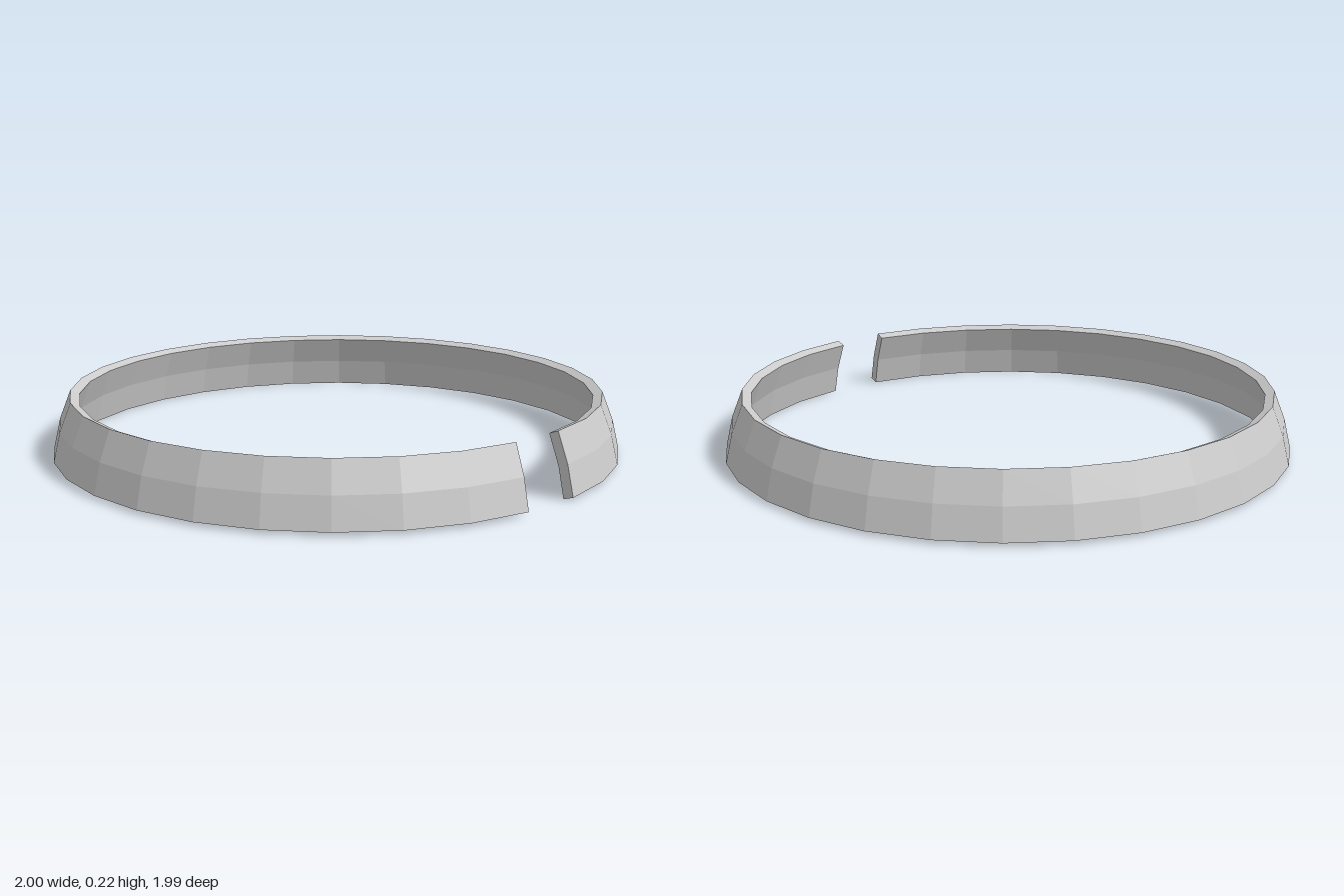
import * as THREE from 'three';

// Wall cross-section (radius, height): outer side going up, inner side going down
const PROFILE = [
  [0.965, 0], [1, 0.012], [0.975, 0.115], [0.935, 0.215],
  [0.903, 0.202], [0.942, 0.102],
].map(([r, y]) => new THREE.Vector2(r, y));

const SIDES = 30; // full circle, one side is left open
const STEP = (Math.PI * 2) / SIDES;
const START = Math.PI / 2 - STEP; // gap sits on the left, towards the front

export function createModel() {
  const group = new THREE.Group();
  group.name = 'openRing';
  const material = new THREE.MeshStandardMaterial({
    color: 0xcccccc, flatShading: true, side: THREE.DoubleSide,
  });

  // Faceted band with one segment missing
  const band = new THREE.Mesh(
    new THREE.LatheGeometry([...PROFILE, PROFILE[0]], SIDES - 1, START, STEP * (SIDES - 1)),
    material,
  );
  band.name = 'band';
  group.add(band);

  // Flat faces closing the two cut ends
  const section = new THREE.ShapeGeometry(new THREE.Shape(PROFILE));
  for (const [name, phi] of [['backEnd', START], ['frontEnd', START - STEP]]) {
    const cap = new THREE.Mesh(section, material);
    cap.name = name;
    cap.rotation.y = phi - Math.PI / 2;
    group.add(cap);
  }
  return group;
}
